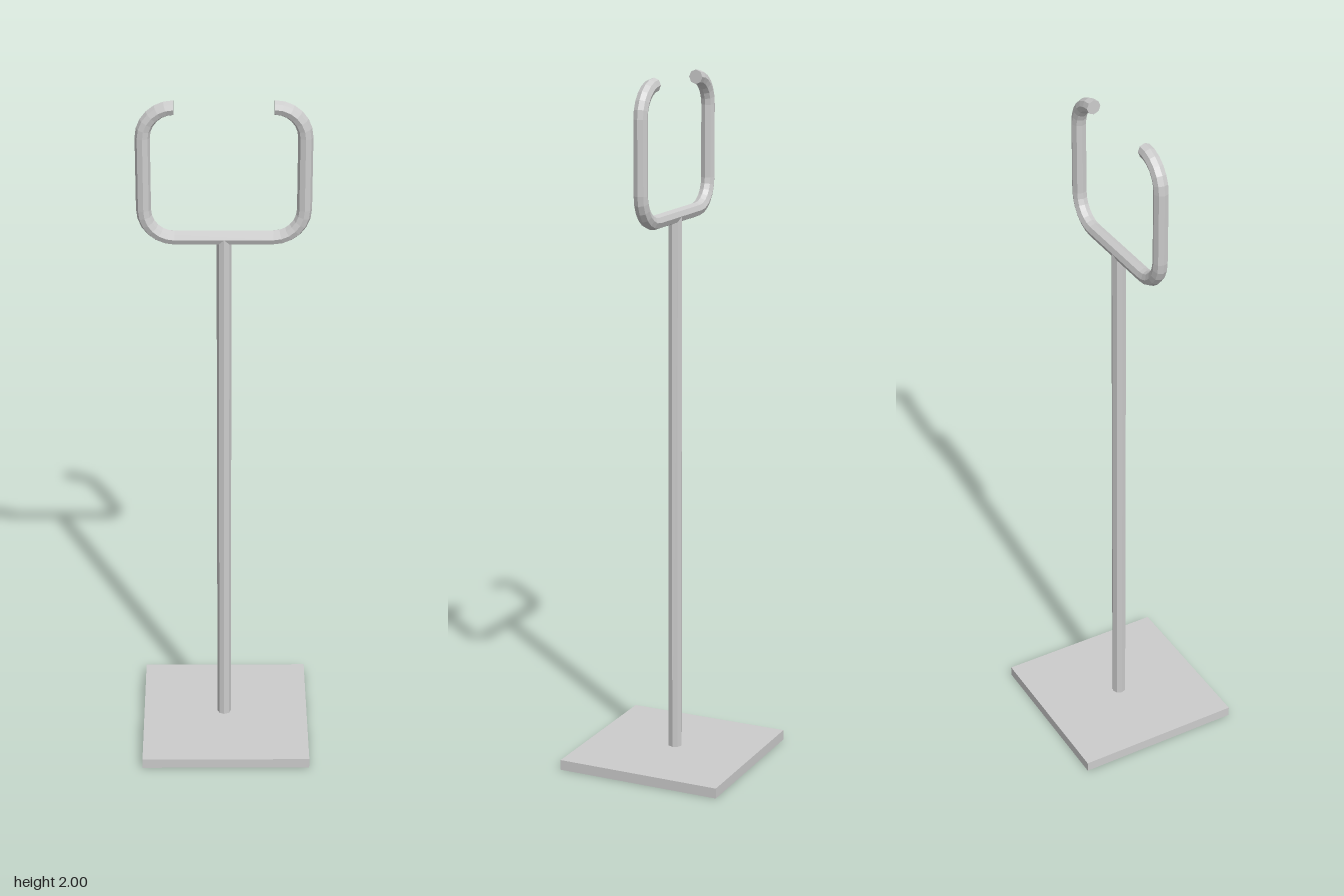
import * as THREE from 'three';

const SIDES = 8, R = 0.0205, CX = -0.004, CZ = -0.0025;

// Centre line of the open holder: four rounded corners joined by straight runs
function holderPath() {
  const halfW = 0.2185, bottom = 1.605, top = 1.98, r = 0.084, steps = 6;
  const corners = [
    [-1, top - r, Math.PI / 2], [-1, bottom + r, Math.PI],
    [1, bottom + r, Math.PI * 1.5], [1, top - r, Math.PI * 2],
  ];
  const points = [];
  for (const [side, cy, start] of corners) {
    for (let i = 0; i <= steps; i++) {
      const a = start + (i / steps) * Math.PI / 2;
      points.push({ x: side * (halfW - r) + r * Math.cos(a), y: cy + r * Math.sin(a), a });
    }
  }
  return points;
}

// Faceted rod swept along a path in the xy plane, with closed ends
function sweepRod(path) {
  const pos = [], idx = [];
  for (const { x, y, a } of path) {
    for (let j = 0; j < SIDES; j++) {
      const t = (j / SIDES) * Math.PI * 2, out = R * Math.cos(t);
      pos.push(x + out * Math.cos(a), y + out * Math.sin(a), R * Math.sin(t));
    }
  }
  for (let i = 0; i < path.length - 1; i++) {
    for (let j = 0; j < SIDES; j++) {
      const k = (j + 1) % SIDES;
      const a = i * SIDES + j, b = i * SIDES + k, c = a + SIDES, d = b + SIDES;
      idx.push(a, c, b, b, c, d);
    }
  }
  const last = (path.length - 1) * SIDES;
  for (let j = 1; j < SIDES - 1; j++) {
    idx.push(0, j, j + 1, last, last + j + 1, last + j);
  }
  const geo = new THREE.BufferGeometry();
  geo.setAttribute('position', new THREE.Float32BufferAttribute(pos, 3));
  geo.setIndex(idx);
  geo.computeVertexNormals();
  return geo;
}

export function createModel() {
  const group = new THREE.Group();
  const material = new THREE.MeshStandardMaterial({ color: 0xcccccc, flatShading: true });
  const add = (name, geometry, x, y, z) => {
    const mesh = new THREE.Mesh(geometry, material);
    mesh.name = name;
    mesh.position.set(x, y, z);
    group.add(mesh);
  };

  // Square foot plate
  add('base', new THREE.BoxGeometry(0.495, 0.03, 0.495), 0, 0.015, 0);

  // Upright from the plate to the holder
  const y0 = 0.015, y1 = 1.605;
  add('pole', new THREE.CylinderGeometry(R, R, y1 - y0, SIDES), CX, (y0 + y1) / 2, CZ);

  // Bent rod, open at the top
  add('holder', sweepRod(holderPath()), CX, 0, CZ);

  return group;
}
